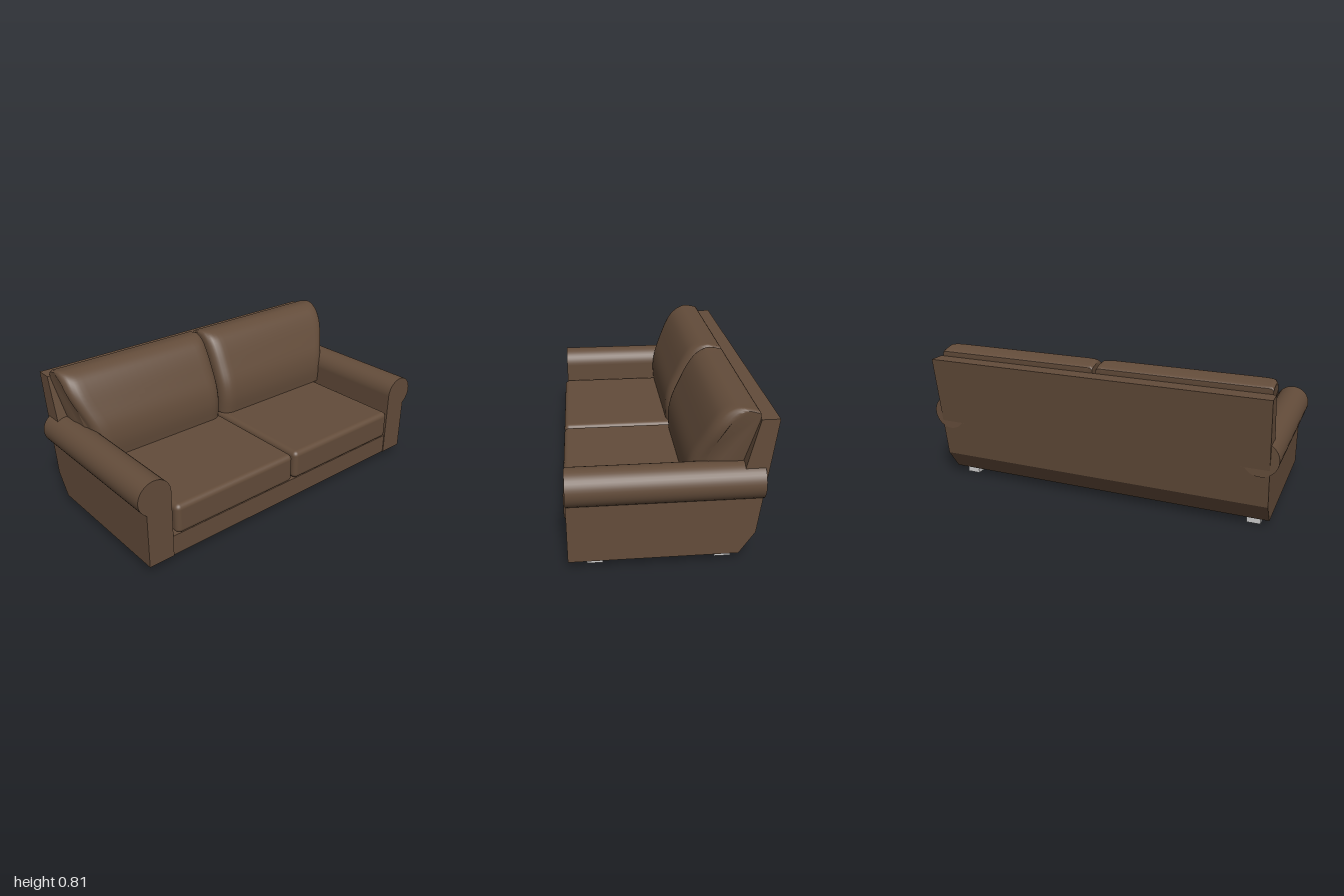
import * as THREE from 'three';
import { toCreasedNormals } from 'three/addons/utils/BufferGeometryUtils.js';
import { RoundedBoxGeometry } from 'three/addons/geometries/RoundedBoxGeometry.js';

const fabric = new THREE.MeshStandardMaterial({ color: 0x634c3a });
const grey = new THREE.MeshStandardMaterial({ color: 0xcccccc });

// Extrudes a side profile of [z, y] points along x, centred on x = 0
function sideExtrude(points, width, steps = 1) {
  const shape = new THREE.Shape(points.map(([z, y]) => new THREE.Vector2(z, y)));
  const geo = new THREE.ExtrudeGeometry(shape, { depth: width, steps, bevelEnabled: false });
  geo.translate(0, 0, -width / 2);
  geo.rotateY(-Math.PI / 2);
  return geo;
}

// Puffy back cushion: rounded front edges and sides that flare towards the top
function backCushionGeometry() {
  const front = new THREE.SplineCurve([
    [-0.105, 0.335], [-0.1, 0.43], [-0.116, 0.525], [-0.158, 0.625], [-0.205, 0.72],
    [-0.25, 0.778], [-0.31, 0.807], [-0.37, 0.802], [-0.41, 0.793],
  ].map(([z, y]) => new THREE.Vector2(z, y)));
  const profile = front.getPoints(32).map((p) => [p.x, p.y]);
  profile.push([-0.418, 0.785], [-0.418, 0.758], [-0.31, 0.335]);

  const geo = sideExtrude(profile, 1, 28);
  const pos = geo.attributes.position;
  const inner = 0.01, radius = 0.07;
  for (let i = 0; i < pos.count; i++) {
    const y = pos.getY(i), z = pos.getZ(i);
    const t = 0.5 - 0.5 * Math.cos(Math.PI * (pos.getX(i) + 0.5));
    const outer = 0.86 + 0.08 * THREE.MathUtils.smoothstep(y, 0.45, 0.75);
    const width = outer - inner;
    const edge = Math.min(t, 1 - t) * width;
    const k = Math.max(0, 1 - edge / radius);
    const drop = 1 - Math.sqrt(Math.max(0, 1 - k * k));
    const zBack = -0.31 - 0.255 * (y - 0.335);
    const frontness = THREE.MathUtils.clamp((z - zBack) / 0.2, 0, 1);
    const e = Math.max(0, 1 - edge / 0.015);
    const topness = THREE.MathUtils.smoothstep(y, 0.7, 0.8);
    pos.setXYZ(i, inner + t * width, y - 0.012 * e * e * topness, z - 0.065 * drop * frontness);
  }
  return toCreasedNormals(geo, 0.7);
}

export function createModel() {
  const model = new THREE.Group();
  const add = (name, geo, material = fabric, x = 0, y = 0, z = 0) => {
    const mesh = new THREE.Mesh(geo, material);
    mesh.name = name;
    mesh.position.set(x, y, z);
    model.add(mesh);
    return mesh;
  };

  // Base under the seat and the leaning back
  add('base', sideExtrude([[0.485, 0.045], [0.485, 0.16], [-0.42, 0.16], [-0.345, 0.045]], 1.91));
  add('backrest', sideExtrude([
    [-0.345, 0.045], [-0.25, 0.045], [-0.27, 0.16], [-0.42, 0.758], [-0.508, 0.758], [-0.425, 0.16],
  ], 1.91));

  const armPanel = sideExtrude([
    [0.49, 0.045], [0.49, 0.43], [-0.455, 0.43], [-0.455, 0.375], [-0.425, 0.16], [-0.345, 0.045],
  ], 0.145);
  const armRoll = new THREE.CylinderGeometry(0.095, 0.095, 0.945, 40).rotateX(Math.PI / 2);
  const seat = new RoundedBoxGeometry(0.786, 0.168, 0.785, 5, 0.028);
  const leg = new THREE.BoxGeometry(0.075, 0.045, 0.08);
  const backCushion = backCushionGeometry();
  const mirrored = backCushion.clone();
  // Mirrored cushion: negate x and swap the corner order
  for (const key of ['position', 'normal']) {
    const a = mirrored.attributes[key];
    for (let i = 0; i < a.count; i++) a.setX(i, -a.getX(i));
    for (let i = 0; i < a.count; i += 3) {
      const p = new THREE.Vector3().fromBufferAttribute(a, i + 1);
      const q = new THREE.Vector3().fromBufferAttribute(a, i + 2);
      a.setXYZ(i + 1, q.x, q.y, q.z);
      a.setXYZ(i + 2, p.x, p.y, p.z);
    }
  }

  for (const [side, s] of [['left', 1], ['right', -1]]) {
    add(side + 'ArmPanel', armPanel, fabric, s * 0.8825);
    add(side + 'ArmRoll', armRoll, fabric, s * 0.905, 0.43, 0.0175);
    add(side + 'SeatCushion', seat, fabric, s * 0.4, 0.251, 0.1125);
    add(side + 'BackCushion', s > 0 ? backCushion : mirrored);
    add(side + 'FrontLeg', leg, grey, s * 0.8675, 0.0225, 0.36);
    add(side + 'BackLeg', leg, grey, s * 0.8675, 0.0225, -0.275);
  }
  return model;
}
